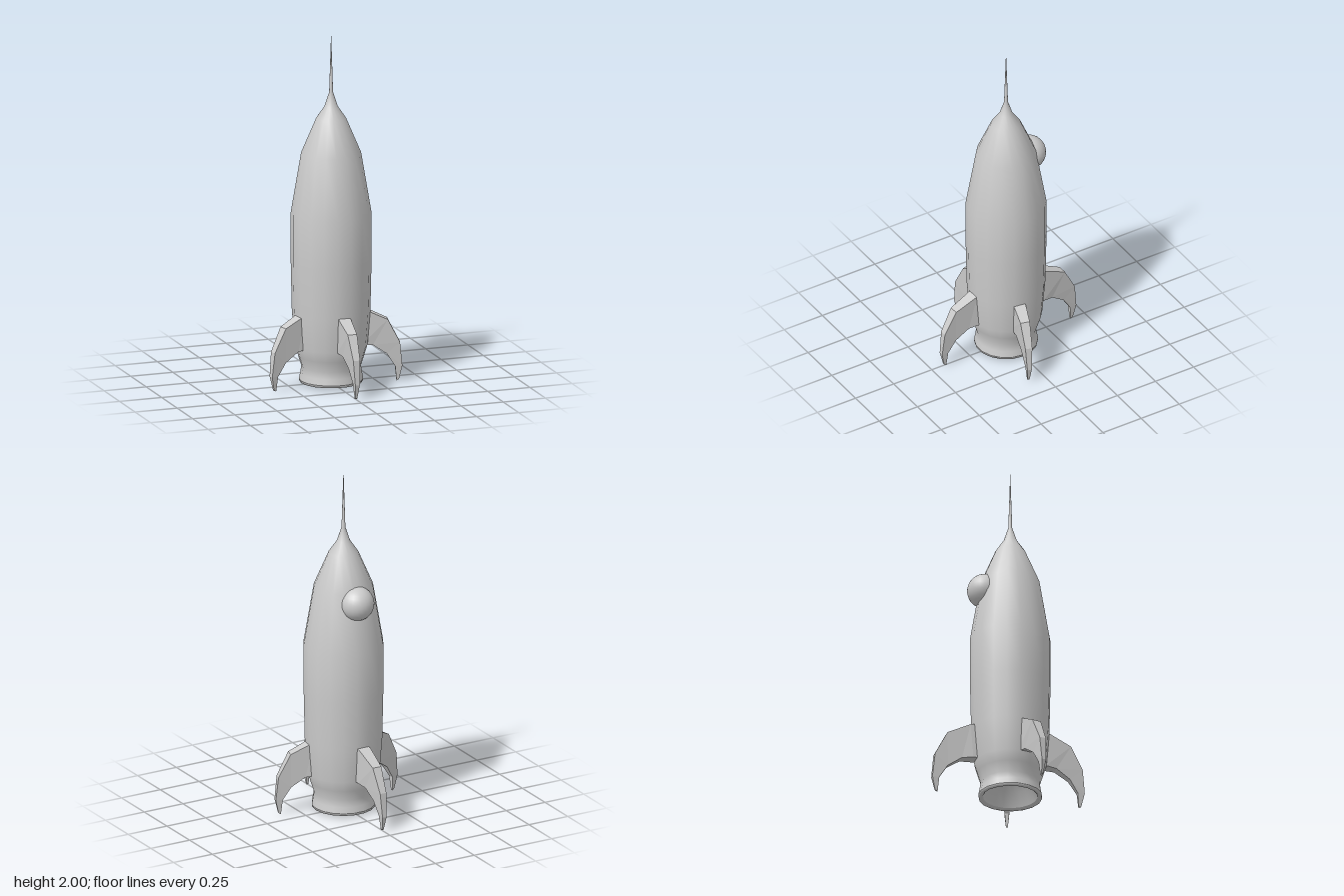
import * as THREE from 'three';

const SIDES = 18;
const AXIS_Z = 0.013; // the hull sits slightly forward of the fins' centre

// Lathed part with a flat facet facing front
function lathe(name, profile, material) {
  const points = profile.map(([r, y]) => new THREE.Vector2(r, y));
  const mesh = new THREE.Mesh(
    new THREE.LatheGeometry(points, SIDES, Math.PI / SIDES), material);
  mesh.name = name;
  mesh.position.z = AXIS_Z;
  return mesh;
}

// Swept fin along +z: each station is [outer z, outer y, inner z, inner y, half width]
function finGeometry() {
  const stations = [
    [0.19, 0.425, 0.16, 0.22, 0.037],
    [0.225, 0.42, 0.21, 0.22, 0.036],
    [0.357, 0.358, 0.273, 0.213, 0.027],
    [0.426, 0.225, 0.352, 0.16, 0.02],
    [0.44, 0.087, 0.4, 0.085, 0.013],
    [0.422, 0.008, 0.408, 0, 0.005],
  ];
  const rings = stations.map(([oz, oy, iz, iy, w]) => [
    [-w, oy, oz], [w, oy, oz], [w, iy, iz], [-w, iy, iz],
  ]);
  const positions = [];
  const quad = (a, b, c, d) => positions.push(...a, ...b, ...c, ...a, ...c, ...d);
  for (let i = 0; i < rings.length - 1; i++) {
    const p = rings[i], q = rings[i + 1];
    for (let k = 0; k < 4; k++) {
      const n = (k + 1) % 4;
      quad(p[k], q[k], q[n], p[n]);
    }
  }
  const root = rings[0], tip = rings[rings.length - 1];
  quad(root[0], root[1], root[2], root[3]);
  quad(tip[3], tip[2], tip[1], tip[0]);
  const geometry = new THREE.BufferGeometry();
  geometry.setAttribute('position', new THREE.Float32BufferAttribute(positions, 3));
  geometry.computeVertexNormals();
  return geometry;
}

export function createModel() {
  const group = new THREE.Group();
  group.name = 'rocket';
  const smooth = new THREE.MeshStandardMaterial({ color: 0xcccccc });
  const faceted = new THREE.MeshStandardMaterial({
    color: 0xcccccc, flatShading: true, side: THREE.DoubleSide,
  });

  // Hull from flared skirt up to the needle tip
  group.add(lathe('hull', [
    [0.179, 0.025], [0.172, 0.06], [0.166, 0.1], [0.185, 0.16], [0.203, 0.22],
    [0.219, 0.42], [0.225, 0.7], [0.225, 0.98], [0.167, 1.325], [0.083, 1.523],
    [0.037, 1.59], [0.011, 1.67], [0.0005, 2],
  ], smooth));

  // Bottom rim and hollow exhaust
  group.add(lathe('rim', [[0.152, 0.02], [0.162, 0.012], [0.177, 0.012], [0.179, 0.025]], smooth));
  group.add(lathe('exhaust', [[0, 0.2], [0.07, 0.17], [0.12, 0.1], [0.152, 0.02]], smooth));

  // Rear bubble window
  const bubble = new THREE.Mesh(new THREE.SphereGeometry(0.097, 24, 16), smooth);
  bubble.name = 'bubbleWindow';
  bubble.position.set(0, 1.263, -0.136);
  group.add(bubble);

  // Four fins; the side pair is swung forward and set deeper into the hull
  const geometry = finGeometry();
  const sideAngle = THREE.MathUtils.degToRad(75.5);
  for (const [name, angle, inset] of [
    ['frontFin', 0, 0], ['backFin', Math.PI, 0],
    ['leftFin', sideAngle, 0.038], ['rightFin', -sideAngle, 0.038],
  ]) {
    const fin = new THREE.Mesh(geometry, faceted);
    fin.name = name;
    fin.rotation.y = angle;
    fin.position.set(-Math.sin(angle) * inset, 0, -Math.cos(angle) * inset);
    group.add(fin);
  }
  return group;
}
